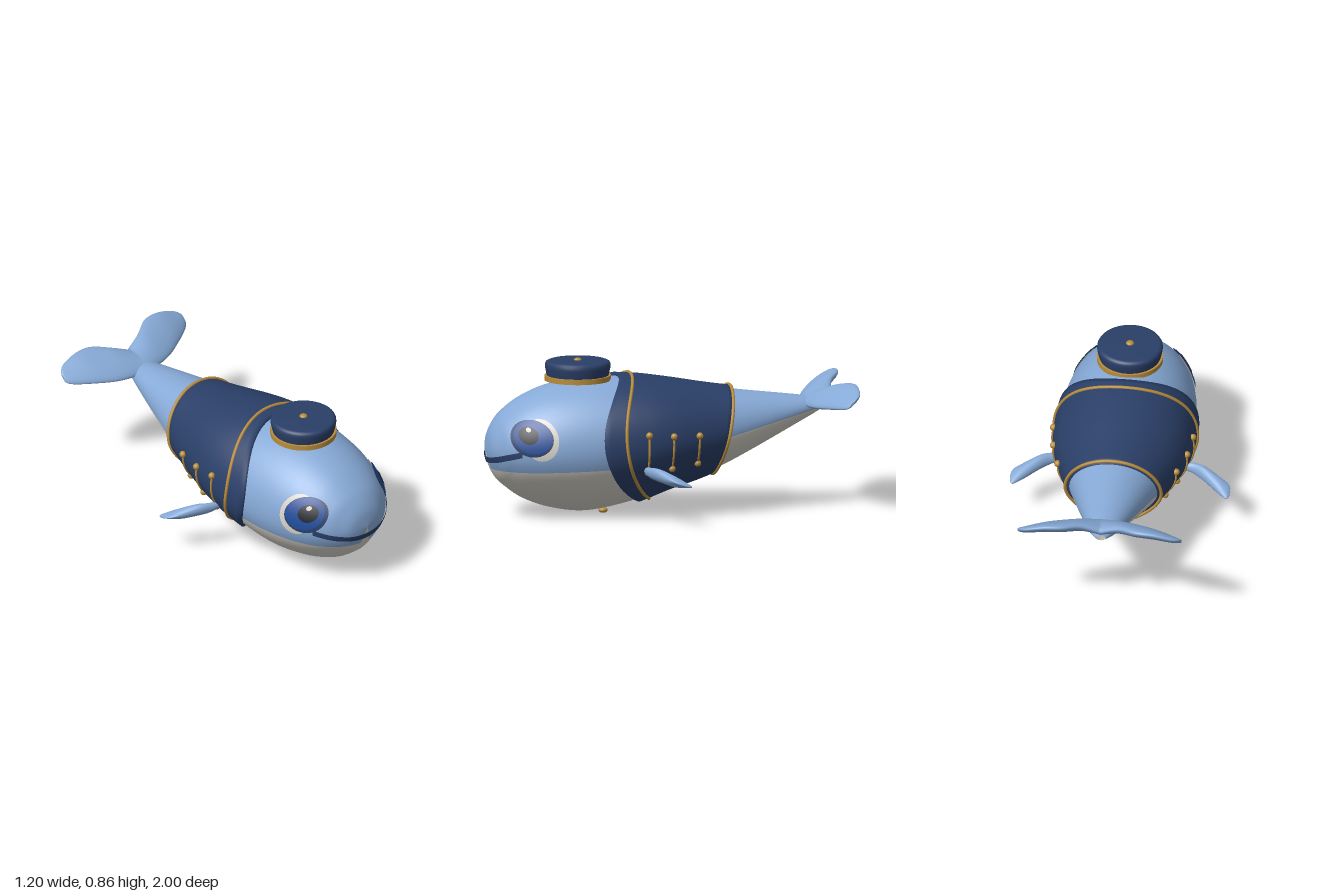
import * as THREE from 'three';
import { mergeVertices } from 'three/addons/utils/BufferGeometryUtils.js';

const mat = (name, color) => new THREE.MeshStandardMaterial({ name, color, side: THREE.DoubleSide });
const { sin, cos, sqrt, PI, abs, min, max } = Math;

// Smooth interpolation of table rows, t in 0..1
function sample(rows, t) {
  const n = rows.length - 1, f = min(t, 1) * n, i = min(Math.floor(f), n - 1), k = f - i;
  const at = j => rows[max(0, min(n, j))];
  return rows[0].map((_, c) => {
    const [a, b, d, e] = [at(i - 1)[c], at(i)[c], at(i + 1)[c], at(i + 2)[c]];
    return b + 0.5 * k * (d - a + k * (2 * a - 5 * b + 4 * d - e + k * (3 * (b - d) + e - a)));
  });
}

// Surface from f(u index, v index) -> [x, y, z]
function grid(nu, nv, f) {
  const pos = [], idx = [];
  for (let j = 0; j <= nv; j++) for (let i = 0; i <= nu; i++) pos.push(...f(i, j));
  for (let j = 0; j < nv; j++) for (let i = 0; i < nu; i++) {
    const a = j * (nu + 1) + i, b = a + nu + 1;
    idx.push(a, a + 1, b, b, a + 1, b + 1);
  }
  let g = new THREE.BufferGeometry();
  g.setAttribute('position', new THREE.Float32BufferAttribute(pos, 3));
  g.setIndex(idx);
  g = mergeVertices(g, 1e-5);
  g.computeVertexNormals();
  return g;
}

// Body stations: z, top y, bottom y, half width
const BODY = [
  [1, 0.375, 0.375, 0], [0.985, 0.46, 0.29, 0.1], [0.95, 0.53, 0.22, 0.165],
  [0.9, 0.585, 0.17, 0.225], [0.8, 0.655, 0.1, 0.29], [0.65, 0.715, 0.045, 0.34],
  [0.45, 0.748, 0.02, 0.366], [0.2, 0.742, 0.065, 0.366], [0, 0.715, 0.135, 0.335],
  [-0.3, 0.665, 0.24, 0.24], [-0.75, 0.61, 0.475, 0.095], [-0.89, 0.585, 0.555, 0.03],
];
function station(z) {
  let lo = 0, hi = 1;
  for (let k = 0; k < 30; k++) {
    const m = (lo + hi) / 2;
    if (sample(BODY, m)[0] > z) lo = m; else hi = m;
  }
  return sample(BODY, lo);
}
const taper = s => (s < 0 ? 1 - 0.3 * s * s : 1);
function ringPoint([z, top, bot, w], a, off = 0) {
  const s = sin(a);
  return [(w + off) * cos(a) * taper(s), (top + bot) / 2 + ((top - bot) / 2 + off) * s, z];
}
function halfWidth(z, y) {
  const [, top, bot, w] = station(z);
  const s = (y - (top + bot) / 2) / max((top - bot) / 2, 1e-6);
  return abs(s) >= 1 ? 0 : w * sqrt(1 - s * s) * taper(s);
}
const bellyLine = z => (z > 0.3 ? 0.295 - 0.04 * (z - 0.3) : 0.295 + 0.225 * (0.3 - z));

export function createModel() {
  const blue = mat('skin blue', 0x86a9d6), belly = mat('belly white', 0xd5d1c8);
  const navy = mat('navy cloth', 0x2a3f68), gold = mat('gold trim', 0xb88c3c);
  const iris = mat('iris blue', 0x1c4c98), dark = mat('pupil black', 0x1b1e2a);
  const root = new THREE.Group();
  root.name = 'whale';
  const add = (name, geo, material, parent = root) => {
    const m = new THREE.Mesh(geo, material);
    m.name = name;
    parent.add(m);
    return m;
  };
  const tube = (pts, r, closed = false) => new THREE.TubeGeometry(
    new THREE.CatmullRomCurve3(pts.map(p => new THREE.Vector3(...p)), closed), pts.length * 3, r, 8, closed);

  // Body: upper half blue, lower half white
  const NU = 88, HALF = 32;
  const rings = Array.from({ length: NU + 1 }, (_, i) => sample(BODY, i / NU));
  const body = grid(NU, HALF * 2, (i, j) => {
    const r = rings[i], c = (r[1] + r[2]) / 2, h = max((r[1] - r[2]) / 2, 1e-6);
    const a0 = Math.asin(max(-0.95, min(0.95, (bellyLine(r[0]) - c) / h)));
    const a = j <= HALF ? a0 + (PI - 2 * a0) * j / HALF
      : PI - a0 + (PI + 2 * a0) * (j - HALF) / HALF;
    return ringPoint(r, a);
  });
  const split = HALF * NU * 6;
  body.addGroup(0, split, 0);
  body.addGroup(split, split, 1);
  add('body', body, [blue, belly]);

  // Jacket with slanted edges, rims turned in to the skin
  const frontEdge = a => 0.21 + 0.06 * sin(a) + 0.2 * cos(a) ** 2;
  const trimEdge = a => 0.15 + 0.05 * sin(a) + 0.14 * cos(a) ** 2;
  const rearEdge = a => -0.3 - 0.05 * sin(a);
  const JU = 26;
  add('jacket', grid(JU, 64, (i, j) => {
    const a = j / 64 * PI * 2, t = max(0, min(1, (i - 1) / (JU - 2)));
    const z = frontEdge(a) + (rearEdge(a) - frontEdge(a)) * t;
    return ringPoint(station(z), a, i === 0 || i === JU ? -0.005 : 0.02);
  }), navy);
  for (const [name, edge] of [['collarTrim', trimEdge], ['hemTrim', rearEdge]]) {
    const pts = Array.from({ length: 48 }, (_, k) => {
      const a = k / 48 * PI * 2;
      return ringPoint(station(edge(a)), a, 0.022);
    });
    add(name, tube(pts, 0.009, true), gold);
  }

  // Sailor cap
  const cap = new THREE.Group();
  cap.name = 'cap';
  cap.position.z = 0.49;
  root.add(cap);
  const crown = [[0.166, 0.755], [0.172, 0.78], [0.178, 0.81], [0.178, 0.826], [0.172, 0.837], [0.158, 0.843], [0, 0.845]];
  add('capCrown', new THREE.LatheGeometry(crown.map(p => new THREE.Vector2(...p)), 48), navy, cap);
  add('capBand', new THREE.CylinderGeometry(0.18, 0.18, 0.028, 48), gold, cap).position.y = 0.75;
  const knob = add('capButton', new THREE.SphereGeometry(0.022, 16, 10), gold, cap);
  knob.position.y = 0.845;
  knob.scale.y = 0.55;

  // Mouth strip following the face
  const faceZ = (x, y) => {
    let lo = 0.4, hi = 1;
    for (let k = 0; k < 24; k++) {
      const m = (lo + hi) / 2;
      if (halfWidth(m, y) > abs(x)) lo = m; else hi = m;
    }
    return lo;
  };
  add('mouth', grid(48, 4, (i, j) => {
    const t = i / 24 - 1, x = 0.265 * t;
    const y = 0.318 + 0.06 * t * t + (j / 4 - 0.5) * 0.032;
    return [x * 1.025, y, faceZ(x, y) + 0.006];
  }), navy);

  // Eye layers: name, material, z, y, z radius, y radius, lift
  const eyeLayers = [
    ['eyeWhite', belly, 0.748, 0.458, 0.09, 0.112, 0.004],
    ['irisRim', navy, 0.793, 0.466, 0.108, 0.098, 0.007],
    ['iris', iris, 0.787, 0.474, 0.098, 0.088, 0.01],
    ['pupil', dark, 0.81, 0.484, 0.05, 0.047, 0.013],
    ['eyeGlint', belly, 0.808, 0.515, 0.013, 0.012, 0.016],
  ];
  // Pectoral fin stations: x, y, z, half chord, half thickness
  const FIN = [
    [0.33, 0.28, 0.175, 0, 0], [0.34, 0.28, 0.175, 0.02, 0.02], [0.39, 0.275, 0.16, 0.022, 0.03],
    [0.45, 0.27, 0.125, 0.034, 0.036], [0.53, 0.25, 0.065, 0.046, 0.03],
    [0.58, 0.24, 0.027, 0.05, 0.014], [0.597, 0.237, 0.022, 0.03, 0.005], [0.6, 0.237, 0.022, 0, 0],
  ];
  for (const [side, label] of [[1, 'left'], [-1, 'right']]) {
    const eye = new THREE.Group();
    eye.name = label + 'Eye';
    root.add(eye);
    for (const [name, m, z0, y0, rz, ry, lift] of eyeLayers) {
      add(name, grid(10, 36, (i, j) => {
        const r = i / 10, a = j / 36 * PI * 2;
        const z = z0 + rz * r * cos(a), y = y0 + ry * r * sin(a);
        return [side * (halfWidth(z, y) + lift), y, z + lift * 0.5];
      }), m, eye);
    }

    add(label + 'Fin', grid(28, 20, (i, j) => {
      const [x, y, z, chord, thick] = sample(FIN, i / 28), a = j / 20 * PI * 2;
      return [side * x, y + thick * sin(a) + chord * 0.3 * cos(a), z + chord * cos(a)];
    }), blue);

    // Jacket buttons joined by cords
    for (const [z, hi, lo] of [[0.17, 0.48, 0.27], [0.03, 0.467, 0.283], [-0.12, 0.46, 0.3]]) {
      const at = (y, off) => [side * (halfWidth(z, y) + off), y, z];
      for (const y of [hi, lo])
        add('button', new THREE.SphereGeometry(0.019, 16, 12), gold).position.set(...at(y, 0.026));
      add('cord', tube([0, 1, 2, 3, 4].map(k => at(hi + (lo - hi) * k / 4, 0.023)), 0.006), gold);
    }
  }

  // Small button under the belly
  const stud = add('bellyButton', new THREE.SphereGeometry(0.025, 16, 10), gold);
  stud.position.set(0, 0.016, 0.35);
  stud.scale.y = 0.64;

  // Tail fluke stations: x, front z, back z, front y, back y, half thickness
  const FLUKE = [
    [0, -0.745, -0.91, 0.575, 0.62, 0.035], [0.1, -0.755, -0.935, 0.57, 0.665, 0.037],
    [0.2, -0.78, -0.99, 0.575, 0.69, 0.036], [0.3, -0.825, -1, 0.585, 0.69, 0.032],
    [0.4, -0.88, -0.99, 0.595, 0.665, 0.022], [0.442, -0.915, -0.96, 0.605, 0.645, 0.012],
    [0.445, -0.937, -0.937, 0.625, 0.625, 0],
  ];
  add('tailFluke', grid(72, 28, (i, j) => {
    const s = i / 36 - 1, a = j / 28 * PI * 2;
    const [x, zf, zb, yf, yb, th] = sample(FLUKE, abs(s));
    const k = cos(a) / 2;
    return [Math.sign(s) * x, (yf + yb) / 2 + (yf - yb) * k + th * sin(a), (zf + zb) / 2 + (zf - zb) * k];
  }), blue);

  return root;
}
